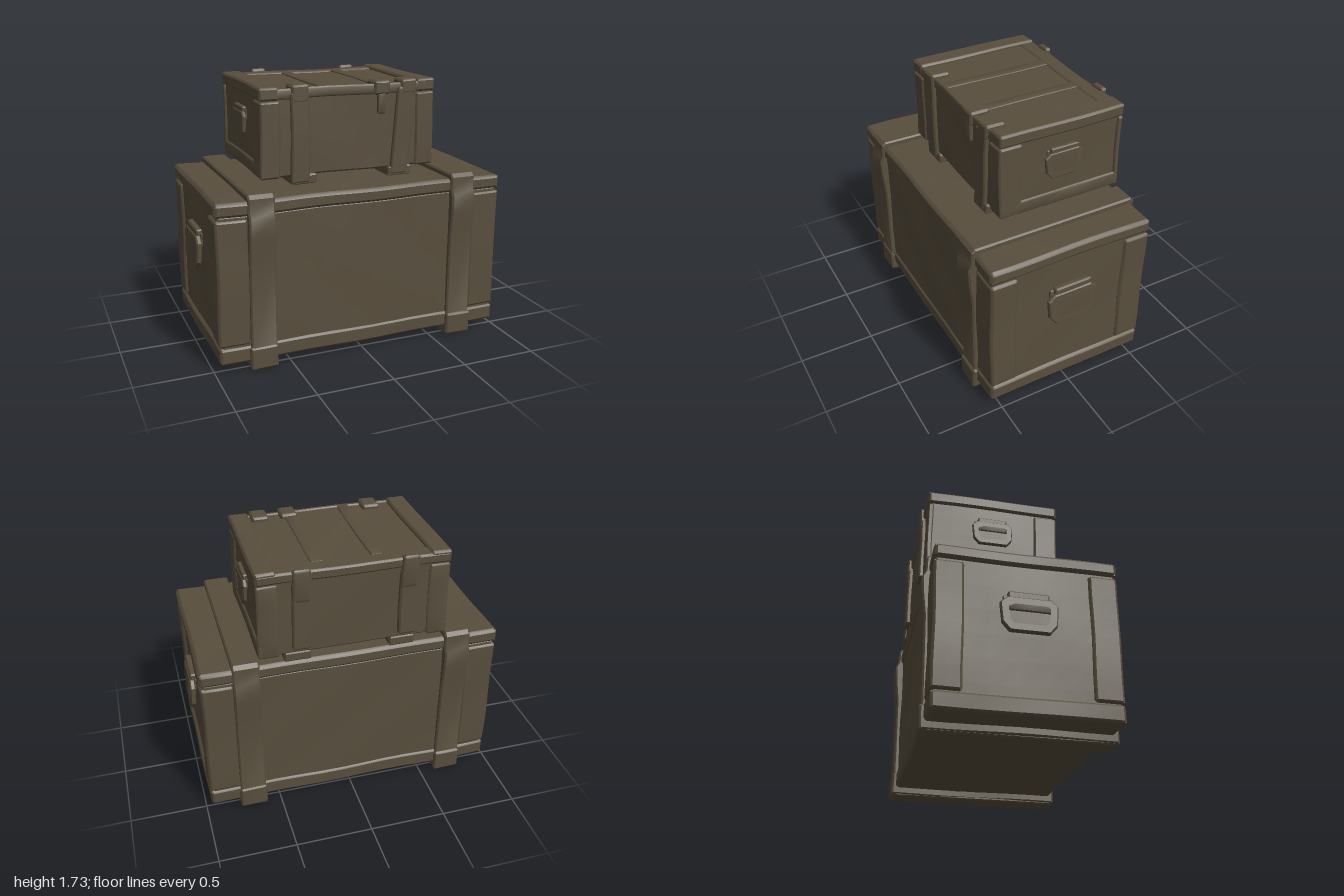
import * as THREE from 'three';
import { toCreasedNormals } from 'three/addons/utils/BufferGeometryUtils.js';

export function createModel() {
  const model = new THREE.Group();
  const wood = new THREE.MeshStandardMaterial({ color: 0x584e3d });
  wood.name = 'weathered brown wood';

  const add = (parent, name, geo) => {
    const mesh = new THREE.Mesh(toCreasedNormals(geo, 0.5), wood);
    mesh.name = name;
    parent.add(mesh);
    return mesh;
  };

  // Gentle uneven, hand-hewn offset that depends only on position
  const wobble = (p, amount) => {
    const { x, y, z } = p;
    p.x += amount * Math.sin(9 * y + 7 * z + 2 * x);
    p.y += amount * Math.sin(8 * x + 6 * z + 1);
    p.z += amount * Math.sin(7 * x + 10 * y + 2);
  };

  // Plank between two corners, with worn bevelled edges
  function plank(parent, name, [x0, x1], [y0, y1], [z0, z1], bevel = 0.012, amount = 0.003) {
    const size = [x1 - x0, y1 - y0, z1 - z0];
    const centre = [(x0 + x1) / 2, (y0 + y1) / 2, (z0 + z1) / 2];
    const segs = size.map((s) => 2 + Math.max(1, Math.ceil(s / 0.16)));
    const geo = new THREE.BoxGeometry(1, 1, 1, ...segs);
    const pos = geo.attributes.position;
    const p = new THREE.Vector3();
    for (let i = 0; i < pos.count; i++) {
      p.fromBufferAttribute(pos, i);
      const v = p.toArray();
      const outer = v.filter((c) => Math.abs(c) > 0.499).length;
      const out = v.map((c, k) => {
        const half = size[k] / 2, r = Math.min(bevel, half * 0.45), n = segs[k];
        const step = Math.round((c + 0.5) * n);
        if (step === 0 || step === n) return Math.sign(c) * (half - (outer > 1 ? r * 0.4 : 0));
        // the first and last rows sit close to the edge to form the bevel
        return n === 2 ? 0 : ((step - 1) / (n - 2) * 2 - 1) * (half - r);
      });
      p.set(out[0] + centre[0], out[1] + centre[1], out[2] + centre[2]);
      wobble(p, amount);
      pos.setXYZ(i, p.x, p.y, p.z);
    }
    geo.deleteAttribute('uv');
    geo.computeVertexNormals();
    return add(parent, name, geo);
  }

  const path = (Type, pts) => new Type(pts.map(([a, b]) => new THREE.Vector2(a, b)));

  // Ring drawn in the z-y plane and extruded along x
  function sideRing(parent, name, outer, inner, x0, width, bevel) {
    const shape = path(THREE.Shape, outer);
    shape.holes.push(path(THREE.Path, inner));
    const geo = new THREE.ExtrudeGeometry(shape, {
      depth: width - 2 * bevel, bevelEnabled: true, bevelThickness: bevel,
      bevelSize: bevel, bevelOffset: -bevel, bevelSegments: 1,
    });
    geo.rotateY(Math.PI / 2).translate(x0 + bevel, 0, 0);
    return add(parent, name, geo);
  }

  // Mirror a half outline (right side, top to bottom) into a closed loop
  const mirrored = (half) => [...half, ...half.slice().reverse().map(([a, b]) => [-a, b])];

  // Carrying handle: mounting bar, two lugs and a tapered grip ring
  function handle(parent, side, x, y, z, s) {
    const g = new THREE.Group();
    g.name = side > 0 ? 'leftHandle' : 'rightHandle';
    const ring = sideRing(g, 'grip',
      mirrored([[0.13, 0.09], [0.175, 0.05], [0.165, -0.08], [0.12, -0.135]]),
      mirrored([[0.11, 0.05], [0.135, 0.03], [0.125, -0.06], [0.1, -0.095]]), 0.012, 0.036, 0.008);
    ring.rotation.z = 0.05;
    plank(g, 'mountingBar', [-0.01, 0.035], [0.075, 0.13], [-0.125, 0.125], 0.01, 0.002);
    plank(g, 'hingePlate', [-0.01, 0.012], [0.02, 0.11], [-0.15, 0.15], 0.006, 0.001);
    g.scale.setScalar(s);
    g.position.set(side * x, y, z);
    if (side < 0) g.rotation.y = Math.PI;
    parent.add(g);
  }

  // ---- Large crate ----
  const big = new THREE.Group();
  big.name = 'largeCrate';
  model.add(big);
  plank(big, 'body', [-0.952, 0.952], [0.075, 1.02], [-0.549, 0.549]);
  plank(big, 'lid', [-0.972, 0.972], [1.008, 1.102], [-0.561, 0.561], 0.022);
  plank(big, 'base', [-0.97, 0.97], [0.062, 0.175], [-0.56, 0.56], 0.018);
  for (const sx of [-1, 1]) {
    const span = (a, b) => [Math.min(sx * a, sx * b), Math.max(sx * a, sx * b)];
    plank(big, 'frontCornerPost', span(0.765, 0.97), [0.18, 0.995], [0.38, 0.56], 0.016);
    plank(big, 'backCornerPost', span(0.765, 0.97), [0.18, 0.995], [-0.56, -0.378], 0.016);
    // Band wrapped right round the crate, thicker just below the lid
    sideRing(big, 'band',
      mirrored([[0.555, 1.138], [0.578, 1.115], [0.58, 1.03], [0.6, 0.99], [0.597, 0.88], [0.58, 0.72],
        [0.576, 0.16], [0.585, 0.14], [0.582, 0.03], [0.56, 0.004]]),
      mirrored([[0.54, 1.09], [0.54, 0.08]]), sx > 0 ? 0.602 : -0.77, 0.168, 0.01);
    plank(big, 'bandFoot', span(0.598, 0.778), [0.012, 0.165], [-0.588, 0.588], 0.014);
    handle(big, sx, 0.952, 0.69, 0, 1);
  }

  // ---- Small crate ----
  const small = new THREE.Group();
  small.name = 'smallCrate';
  model.add(small);
  plank(small, 'body', [-0.588, 0.588], [1.155, 1.69], [-0.548, 0.292]);
  plank(small, 'lidPanel', [-0.59, 0.59], [1.655, 1.704], [-0.55, 0.295]);
  plank(small, 'lidFrontRail', [-0.6, 0.6], [1.648, 1.714], [0.27, 0.303]);
  plank(small, 'lidBackRail', [-0.6, 0.6], [1.648, 1.714], [-0.562, -0.45]);
  for (const x of [-0.2, -0.13, 0.17, 0.24].filter((_, i) => i % 2 === 0)) {
    plank(small, 'lidBatten', [x, x + 0.075], [1.69, 1.715], [-0.46, 0.29], 0.008, 0.002);
  }
  for (const sx of [-1, 1]) {
    const span = (a, b) => [Math.min(sx * a, sx * b), Math.max(sx * a, sx * b)];
    plank(small, 'lidEndRail', span(0.475, 0.605), [1.645, 1.728], [-0.56, 0.305], 0.014);
    plank(small, 'frontCornerPost', span(0.47, 0.602), [1.152, 1.64], [0.15, 0.303]);
    plank(small, 'backCornerPost', span(0.47, 0.602), [1.152, 1.64], [-0.56, -0.525]);
    plank(small, 'endBottomRail', span(0.56, 0.602), [1.152, 1.245], [-0.56, 0.303]);
    handle(small, sx, 0.588, 1.462, -0.135, 0.76);
  }

  // Front straps with clips folded over the lid edge
  plank(small, 'frontStrap', [-0.402, -0.278], [1.11, 1.69], [0.27, 0.318]);
  const slanted = plank(small, 'frontStrap', [0.3, 0.425], [1.11, 1.69], [0.27, 0.318]);
  // the second strap leans outward towards the lid
  const sp = slanted.geometry.attributes.position;
  for (let i = 0; i < sp.count; i++) sp.setX(i, sp.getX(i) + (sp.getY(i) - 1.3) * 0.09);
  for (const [x0, x1, low] of [[-0.395, -0.28, 1.62], [0.165, 0.275, 1.645], [0.355, 0.465, 1.64]]) {
    plank(small, 'lidClip', [x0, x1], [low, 1.735], [0.19, 0.32], 0.014);
  }
  plank(small, 'latchTongue', [0.192, 0.25], [1.52, 1.66], [0.28, 0.316]);

  // Back straps with hinges, and runners under the crate
  for (const [x0, x1] of [[-0.395, -0.28], [0.27, 0.39]]) {
    plank(small, 'backStrap', [x0, x1], [1.19, 1.64], [-0.578, -0.53]);
    plank(small, 'hinge', [x0 + 0.005, x1 - 0.005], [1.52, 1.732], [-0.584, -0.54], 0.016);
    plank(small, 'runner', [x0, x1 + 0.05], [1.095, 1.165], [-0.55, 0.312]);
  }
  return model;
}
